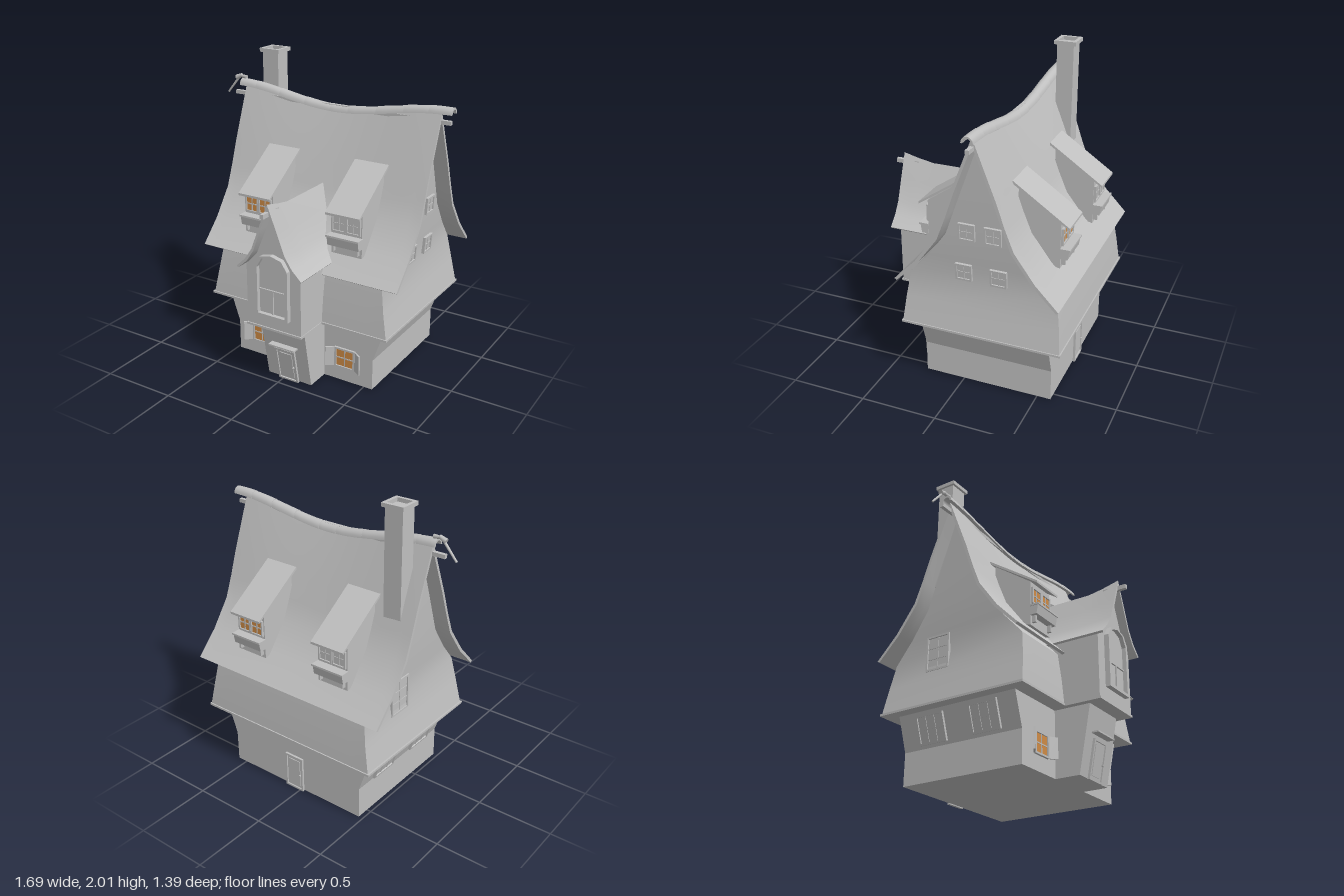
import * as THREE from 'three';
import { toCreasedNormals } from 'three/addons/utils/BufferGeometryUtils.js';

const CX = 0.045, RZ = -0.165; // house centre line and ridge line

export function createModel() {
  const house = new THREE.Group();
  house.name = 'cottage';
  const plaster = new THREE.MeshStandardMaterial({ color: 0xc0c0c0 });
  plaster.name = 'pale grey';
  const glow = new THREE.MeshStandardMaterial({ color: 0xd08c46 });
  glow.name = 'lamp lit orange';

  const add = (name, geo, parent = house, mat = plaster) => {
    const m = new THREE.Mesh(geo, mat);
    m.name = name;
    parent.add(m);
    return m;
  };
  const box = (name, w, h, d, x, y, z, parent = house, mat = plaster) => {
    const m = add(name, new THREE.BoxGeometry(w, h, d), parent, mat);
    m.position.set(x, y, z);
    return m;
  };

  // Skin closed loops of [x, y, z] points and cap both ends
  function loft(rings, crease = 0.5) {
    const V = rings.map(r => r.map(p => new THREE.Vector3(...p)));
    const centre = r => r.reduce((s, p) => s.add(p), new THREE.Vector3()).divideScalar(r.length);
    const newell = r => r.reduce((s, p, i) => s.add(p.clone().cross(r[(i + 1) % r.length])), new THREE.Vector3());
    if (newell(V[0]).dot(centre(V[1]).sub(centre(V[0]))) < 0) V.forEach(r => r.reverse());
    const n = V[0].length, pos = [];
    const tri = (...ps) => ps.forEach(p => pos.push(p.x, p.y, p.z));
    for (let i = 0; i + 1 < V.length; i++) for (let j = 0; j < n; j++) {
      const k = (j + 1) % n, a = V[i][j], b = V[i][k], c = V[i + 1][k], d = V[i + 1][j];
      tri(a, b, c); tri(a, c, d);
    }
    [[V[0], -1], [V[V.length - 1], 1]].forEach(([r, sign]) => {
      const nor = newell(r).multiplyScalar(sign), s = nor.toArray().map(Math.abs);
      const drop = s.indexOf(Math.max(...s)), [u, v] = [0, 1, 2].filter(q => q !== drop);
      const flat = r.map(p => new THREE.Vector2(p.getComponent(u), p.getComponent(v)));
      for (const [a, b, c] of THREE.ShapeUtils.triangulateShape(flat, [])) {
        const fn = r[b].clone().sub(r[a]).cross(r[c].clone().sub(r[a]));
        if (fn.dot(nor) > 0) tri(r[a], r[b], r[c]); else tri(r[a], r[c], r[b]);
      }
    });
    const g = new THREE.BufferGeometry();
    g.setAttribute('position', new THREE.Float32BufferAttribute(pos, 3));
    return toCreasedNormals(g, crease);
  }
  const rect = (x0, x1, z0, z1, y) => [[x0, y, z0], [x1, y, z0], [x1, y, z1], [x0, y, z1]];

  // The ridge dips in the middle, fading out towards the eaves
  const sag = (x, y) => {
    const u = Math.min(1, Math.abs(x - CX) / 0.77);
    return y - 0.0425 * (1 + Math.cos(Math.PI * u)) * THREE.MathUtils.clamp((y - 0.9) / 0.86, 0, 1);
  };

  // Ground floor with flared ends
  add('groundFloor', loft([[0, 0.52], [0.21, 0.52], [0.43, 0.595]].map(([y, h]) =>
    rect(CX - h, CX + h, -0.592, 0.262, y)), 0.2));

  // Upper floor and gables in one body
  const levels = [[0.43, 0.655, 0.517], [0.6, 0.623, 0.5], [0.77, 0.595, 0.475], [0.915, 0.608, 0.345],
    [1.09, 0.62, 0.22], [1.38, 0.63, 0.115], [1.68, 0.64, 0.004]];
  add('upperFloor', loft(levels.map(([y, h, d]) => {
    const ring = [];
    for (const s of [1, -1]) for (let i = 0; i <= 10; i++) {
      const x = CX + s * h * (i / 5 - 1);
      ring.push([x, sag(x, y), RZ + s * d]);
    }
    return ring;
  })));
  box('upperFloorTrim', 1.324, 0.014, 1.048, 0.043, 0.431, RZ);

  // Main roof shell
  const slope = [[0, 1.76], [0.14, 1.4], [0.195, 1.24], [0.25, 1.1], [0.38, 0.92], [0.525, 0.77]];
  const under = [[0, 1.71], [0.12, 1.4], [0.175, 1.24], [0.232, 1.09], [0.362, 0.91], [0.51, 0.76]];
  const mirrorProfile = p => [...p.slice(1).reverse().map(([a, b]) => [-a, b]), ...p];
  const shell = (outer, inner) => [...mirrorProfile(outer), ...mirrorProfile(inner).reverse()];
  const roofRings = [];
  for (let i = 0; i <= 20; i++) {
    const x = -0.675 + 1.44 * i / 20;
    roofRings.push(shell(slope, under).map(([d, y]) => [x, sag(x, y), RZ + d]));
  }
  add('mainRoof', loft(roofRings));
  box('ridgeBeam', 1.59, 0.025, 0.025, 0.035, 1.695, RZ);

  // Overlapping ridge tiles
  const tileEnds = [-0.71, -0.58, -0.39, -0.195, 0, 0.13, 0.33, 0.52, 0.69, 0.838];
  for (let t = 0; t + 1 < tileEnds.length; t++) {
    const rings = [];
    for (let i = 0; i <= 4; i++) {
      const x = THREE.MathUtils.lerp(tileEnds[t], tileEnds[t + 1] + 0.004, i / 4);
      const k = 1 - 0.06 * i / 4, ring = [];
      for (const r of [0.04, 0.028]) for (let j = 0; j <= 8; j++) {
        const a = Math.PI * (r > 0.03 ? j : 8 - j) / 8;
        ring.push([x, sag(x, 1.76) - 0.01 + r * 1.1 * k * Math.sin(a), RZ - 0.005 + r * k * Math.cos(a)]);
      }
      rings.push(ring);
    }
    add('ridgeTile', loft(rings, 0.7));
  }

  // Finial leaning off the ridge end
  const rod = (name, a, b, r0, r1) => {
    const A = new THREE.Vector3(...a), B = new THREE.Vector3(...b), d = B.clone().sub(A);
    const m = add(name, new THREE.CylinderGeometry(r1, r0, d.length(), 8));
    m.position.copy(A).lerp(B, 0.5);
    m.quaternion.setFromUnitVectors(new THREE.Vector3(0, 1, 0), d.normalize());
  };
  rod('finialStick', [-0.838, 1.682, -0.175], [-0.735, 1.805, -0.175], 0.007, 0.009);
  rod('finialHead', [-0.765, 1.79, -0.175], [-0.72, 1.81, -0.175], 0.018, 0.012);
  rod('finialNeck', [-0.73, 1.805, -0.175], [-0.68, 1.8, -0.17], 0.01, 0.014);

  // Chimney with a hollow cap
  box('chimneyStack', 0.122, 0.74, 0.112, -0.519, 1.605, -0.281);
  for (const s of [-1, 1]) {
    box('chimneyCap', 0.15, 0.025, 0.022, -0.519, 1.987, -0.282 + s * 0.062);
    box('chimneyCap', 0.022, 0.025, 0.102, -0.519 + s * 0.064, 1.987, -0.282);
  }

  // Framed window facing +z, with a grid of bars over the pane
  function windowAt(name, w, h, x, y, z, { mat = plaster, cols = 2, rows = 2, ry = 0, rx = 0, bar = 0.012 } = {}) {
    const g = new THREE.Group();
    g.name = name;
    g.position.set(x, y, z);
    g.rotation.set(rx, ry, 0, 'YXZ');
    box('pane', w, h, 0.006, 0, 0, 0.003, g, mat);
    for (const s of [-1, 1]) {
      box('frame', bar, h + bar, 0.02, s * w / 2, 0, 0.005, g);
      box('frame', w + bar, bar, 0.02, 0, s * h / 2, 0.005, g);
    }
    for (let i = 1; i < cols; i++) box('glazingBar', 0.007, h, 0.012, w * (i / cols - 0.5), 0, 0.004, g);
    for (let i = 1; i < rows; i++) box('glazingBar', w, 0.007, 0.012, 0, h * (i / rows - 0.5), 0.004, g);
    house.add(g);
    return g;
  }

  // Ground floor front windows with open shutters
  for (const x of [-0.283, 0.365]) {
    const g = windowAt('frontWindow', 0.135, 0.13, x, 0.167, 0.262, { mat: glow });
    for (const s of [-1, 1]) {
      const sh = box('shutter', 0.066, 0.135, 0.01, s * 0.099, 0, 0.022, g);
      sh.rotation.y = -s * 0.6;
    }
  }
  // Gable and side windows
  for (const [z, y] of [[-0.083, 1.125], [-0.25, 1.125], [-0.053, 0.845], [-0.278, 0.845]])
    windowAt('gableWindow', 0.095, 0.1, y > 1 ? 0.668 : 0.65, y, z, { ry: Math.PI / 2, rx: y > 1 ? 0.05 : 0.08 });
  windowAt('sideGableWindow', 0.16, 0.22, -0.556, 0.78, -0.3, { ry: -Math.PI / 2, rows: 3 });
  for (const z of [-0.36, 0.03])
    windowAt('sideWindow', 0.19, 0.17, -0.513, 0.315, z, { ry: -Math.PI / 2, rx: 0.33, cols: 3 });

  // Doors
  function doorAt(name, w, h, x, z, ry, rx) {
    const g = windowAt(name, w, h, x, h / 2, z, { ry, rx, cols: 1, rows: 1 });
    box('doorPanel', w * 0.7, h * 0.8, 0.008, 0, 0, 0.007, g);
    box('doorKnob', 0.01, 0.01, 0.02, w * 0.38, -0.01, 0.01, g);
  }
  doorAt('backDoor', 0.13, 0.235, 0.045, -0.592, Math.PI, 0);
  doorAt('frontDoor', 0.135, 0.235, 0.043, 0.448, 0, 0.188);
  box('doorCanopy', 0.195, 0.01, 0.06, 0.043, 0.268, 0.492);

  // Porch tower
  add('porchBase', loft([[0, 0.425], [0.43, 0.507]].map(([y, z]) => rect(CX - 0.165, CX + 0.163, 0.2, z, y))));
  const towerShape = [[-0.2, 0.43], [0.197, 0.43], [0.197, 0.84], [0.12, 0.925], [0.05, 1.09], [0, 1.21],
    [-0.05, 1.09], [-0.12, 0.925], [-0.2, 0.84]];
  add('porchTower', loft([0.1, 0.592].map(z => towerShape.map(([x, y]) => [CX + x, y, z])), 0.2));
  box('porchTowerTrim', 0.405, 0.014, 0.4, 0.0435, 0.431, 0.4);
  const porchOuter = [[0, 1.25], [0.06, 1.11], [0.12, 0.965], [0.17, 0.895], [0.236, 0.835]];
  const porchInner = [[0, 1.215], [0.048, 1.1], [0.107, 0.955], [0.158, 0.882], [0.226, 0.825]];
  add('porchRoof', loft([[0, -0.015], [0.43, -0.015], [0.53, 0.002], [0.645, 0.03]].map(([z, lift]) =>
    shell(porchOuter, porchInner).map(([x, y]) => [CX + x, y + lift * Math.max(0, (y - 0.83) / 0.42), z]))));
  box('porchRidgeBeam', 0.025, 0.028, 0.16, CX, 1.22, 0.62);

  // Arched porch window
  const arch = (w, y0, y1) => [[-w, y0], [w, y0], [w, y1], [w * 0.65, y1 + 0.062], [0, y1 + 0.082],
    [-w * 0.65, y1 + 0.062], [-w, y1]].map(([x, y]) => new THREE.Vector2(x, y));
  const archShape = new THREE.Shape(arch(0.121, 0.523, 0.862));
  archShape.holes.push(new THREE.Path(arch(0.1, 0.542, 0.852)));
  const archFrame = add('archFrame', new THREE.ExtrudeGeometry(archShape, { depth: 0.035, bevelEnabled: false }));
  archFrame.position.set(CX, 0, 0.59);
  const archPane = add('archPane', new THREE.ShapeGeometry(new THREE.Shape(arch(0.105, 0.535, 0.855))));
  archPane.position.set(CX, 0, 0.598);
  box('archBar', 0.2, 0.01, 0.015, CX, 0.7, 0.6);
  box('archBar', 0.008, 0.16, 0.015, CX, 0.62, 0.6);

  // Dormers on both roof slopes
  for (const s of [1, -1]) for (const x of [-0.285, 0.366]) {
    const slab = (name, half, pts) => add(name, loft([x - half, x + half].map(px =>
      pts.map(([d, y]) => [px, y, RZ + s * d]))));
    slab('dormerBody', 0.108, [[0.43, 0.89], [0.43, 1.185], [0.165, 1.37], [0.16, 0.95]]);
    slab('dormerRoof', 0.12, [[0.13, 1.413], [0.487, 1.17], [0.487, 1.155], [0.13, 1.395]]);
    slab('flowerBox', 0.11, [[0.43, 0.955], [0.475, 0.955], [0.487, 1.02], [0.43, 1.02]]);
    slab('flowerBoxRim', 0.115, [[0.43, 1.012], [0.492, 1.012], [0.492, 1.024], [0.43, 1.024]]);
    for (const k of [-0.085, 0.085])
      box('flowerBoxBracket', 0.014, 0.05, 0.03, x + k, 0.935, RZ + s * 0.442);
    const lit = (x < 0) === (s > 0);
    for (const k of [-0.051, 0.051])
      windowAt('dormerWindow', 0.09, 0.1, x + k, 1.093, RZ + s * 0.43,
        { mat: lit ? glow : plaster, ry: s > 0 ? 0 : Math.PI, bar: 0.01 });
  }
  return house;
}
